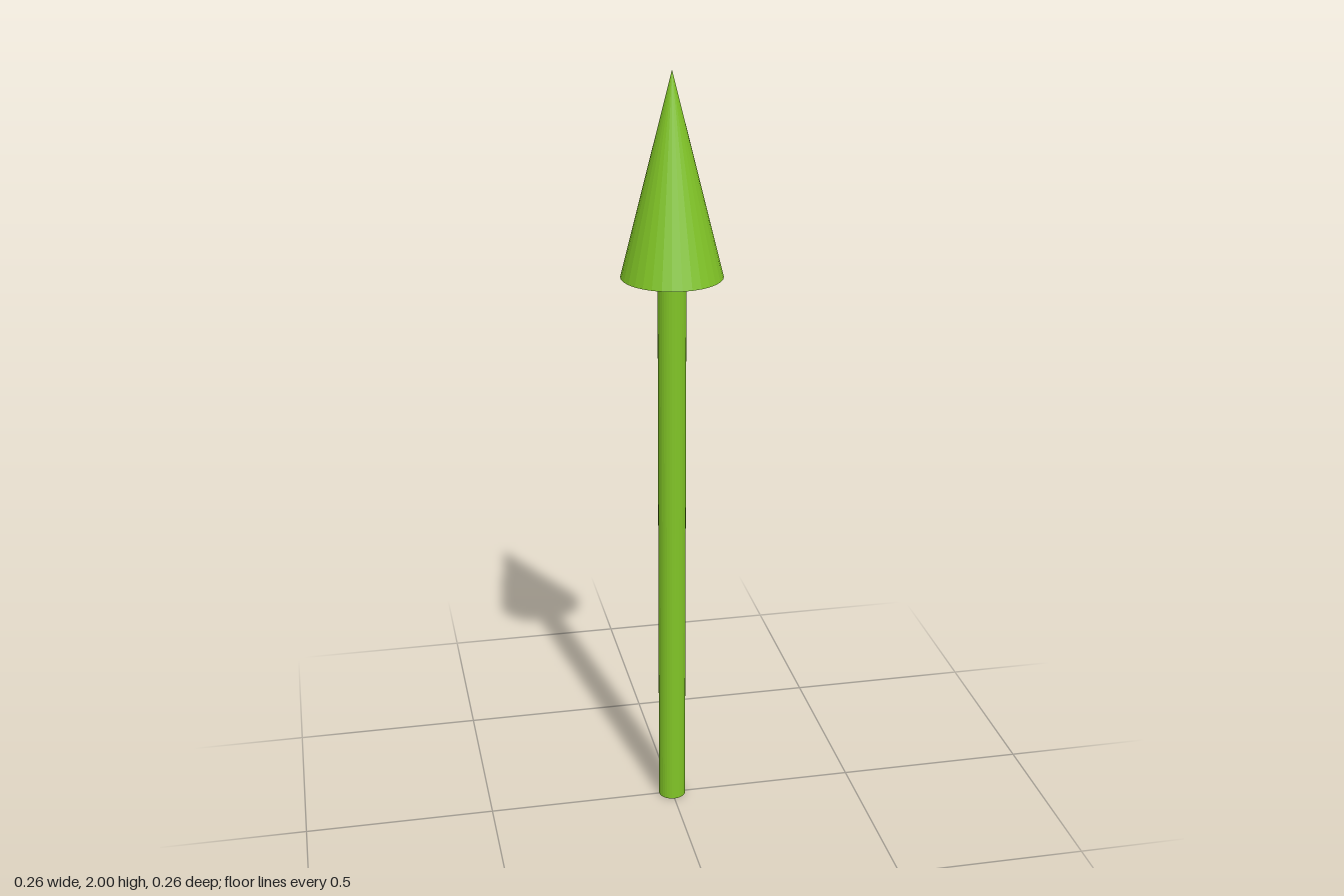
import * as THREE from 'three';

const SIDES = 32;
const HEIGHT = 2;
const HEAD_BASE = 1.487;

export function createModel() {
  const group = new THREE.Group();
  group.name = 'arrow';
  const green = new THREE.MeshStandardMaterial({ color: 0x80c426, flatShading: true });

  const add = (name, geometry, y) => {
    const mesh = new THREE.Mesh(geometry, green);
    mesh.name = name;
    mesh.position.y = y;
    group.add(mesh);
  };

  // Slim round shaft, from the ground to the underside of the head
  add('shaft', new THREE.CylinderGeometry(0.036, 0.036, HEAD_BASE, SIDES), HEAD_BASE / 2);

  // Pointed head with a closed base
  add('arrowHead', new THREE.ConeGeometry(0.129, HEIGHT - HEAD_BASE, SIDES), (HEAD_BASE + HEIGHT) / 2);

  return group;
}
